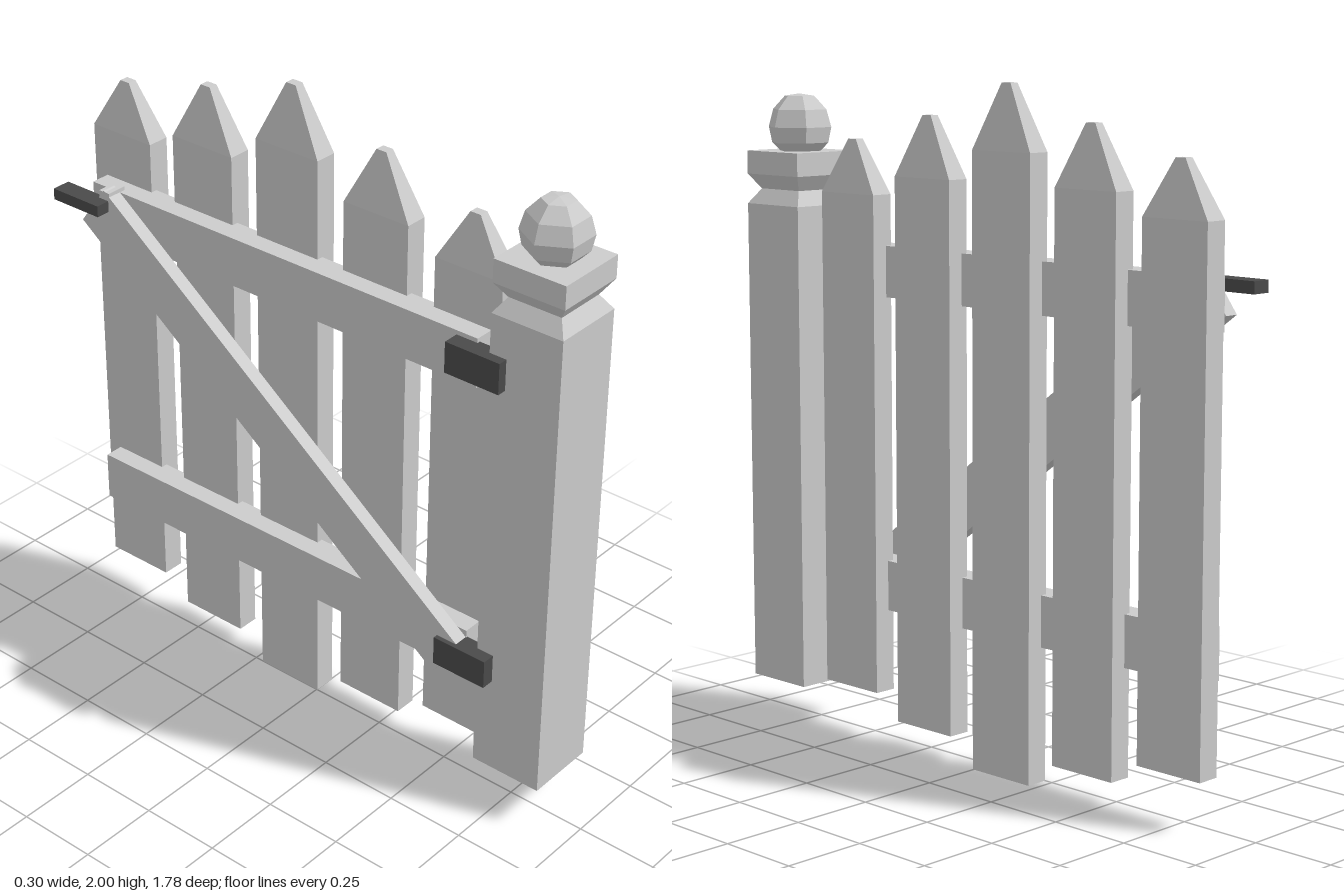
import * as THREE from 'three';

const wood = new THREE.MeshStandardMaterial({ color: 0xcccccc, flatShading: true });
const iron = new THREE.MeshStandardMaterial({ color: 0x4a4a4a, flatShading: true });

// Stacks rectangular sections [halfX, halfZ, y] into a closed solid.
function loft(sections) {
  const pos = [], idx = [];
  for (const [hx, hz, y] of sections) {
    pos.push(hx, y, hz, hx, y, -hz, -hx, y, -hz, -hx, y, hz);
  }
  for (let i = 0; i < sections.length - 1; i++) {
    for (let j = 0; j < 4; j++) {
      const a = i * 4 + j, b = i * 4 + (j + 1) % 4;
      idx.push(a, b, b + 4, a, b + 4, a + 4);
    }
  }
  const t = (sections.length - 1) * 4;
  idx.push(t, t + 1, t + 2, t, t + 2, t + 3, 0, 2, 1, 0, 3, 2);
  const geo = new THREE.BufferGeometry();
  geo.setAttribute('position', new THREE.Float32BufferAttribute(pos, 3));
  geo.setIndex(idx);
  const flat = geo.toNonIndexed();
  flat.computeVertexNormals();
  return flat;
}

export function createModel() {
  const gate = new THREE.Group();
  gate.name = 'picketGate';

  const add = (name, geo, x, y, z, material = wood) => {
    const mesh = new THREE.Mesh(geo, material);
    mesh.name = name;
    mesh.position.set(x, y, z);
    gate.add(mesh);
    return mesh;
  };
  // Box given by its limits on each axis
  const box = (name, [x0, x1], [y0, y1], [z0, z1], material) =>
    add(name, new THREE.BoxGeometry(x1 - x0, y1 - y0, z1 - z0),
      (x0 + x1) / 2, (y0 + y1) / 2, (z0 + z1) / 2, material);

  // Pointed pickets, tallest in the middle: bottom, shoulder, tip
  const heights = [[0, 1.81, 2], [0.08, 1.72, 1.9], [0.15, 1.66, 1.82]];
  for (let i = -2; i <= 2; i++) {
    const [bottom, shoulder, tip] = heights[Math.abs(i)];
    const geo = loft([[0.035, 0.113, bottom], [0.035, 0.113, shoulder], [0.014, 0.017, tip]]);
    add('picket', geo, 0.035, 0, -0.11 + i * 0.319);
  }

  // Square post with a pinched neck and cap block
  add('post', loft([
    [0.113, 0.115, 0.135], [0.113, 0.115, 1.615], [0.082, 0.085, 1.66],
    [0.113, 0.115, 1.705], [0.113, 0.115, 1.775],
  ]), 0.033, 0, 0.78);

  // Six-sided ball finial
  const profile = [[0, 1.77], [0.06, 1.77], [0.09, 1.8], [0.1, 1.847], [0.085, 1.9], [0.047, 1.94], [0, 1.947]]
    .map(([r, y]) => new THREE.Vector2(r, y));
  add('finial', new THREE.LatheGeometry(profile, 6, Math.PI / 2), 0.033, 0, 0.78);

  // Horizontal rails behind the pickets
  for (const y of [0.4, 1.355]) box('rail', [-0.06, 0.02], [y, y + 0.153], [-0.815, 0.61]);

  // Diagonal brace
  const brace = add('brace', new THREE.BoxGeometry(0.045, 0.156, 1.68), -0.0825, 0.96, -0.1);
  brace.rotation.x = 0.64;

  // Hinges joining the rails to the post
  box('upperHinge', [-0.11, -0.05], [1.4, 1.495], [0.54, 0.72], iron);
  box('lowerHinge', [-0.12, -0.055], [0.44, 0.53], [0.54, 0.72], iron);

  // Latch bar and its keeper
  box('latchBar', [-0.15, -0.09], [1.46, 1.495], [-0.89, -0.71], iron);
  box('latchKeeper', [-0.105, -0.04], [1.44, 1.52], [-0.745, -0.706]);

  return gate;
}
